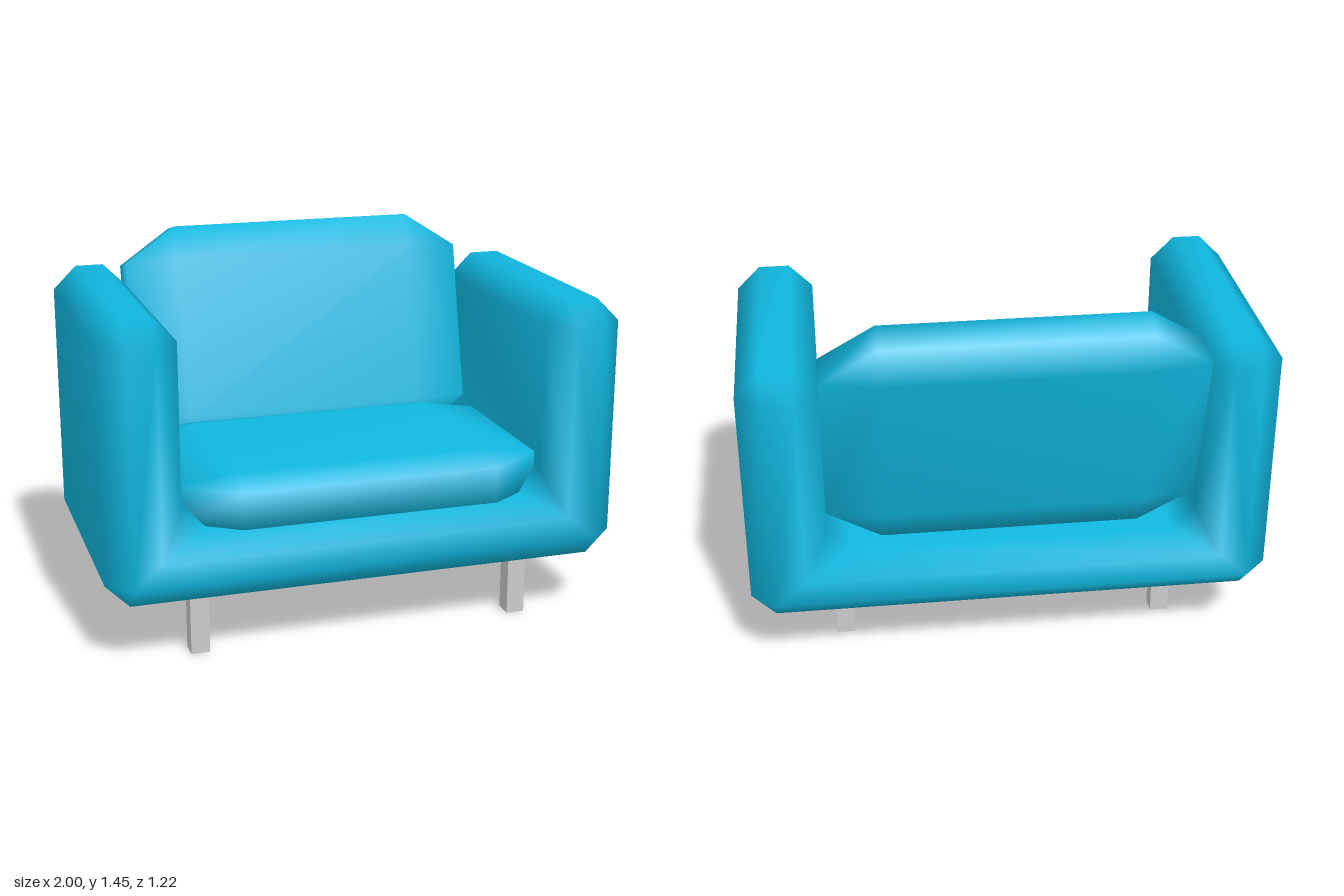
import * as THREE from 'three';

// Softly shaded block: a counter-clockwise right-angled outline in xy, thickened
// along z, with every edge cut by a bevel of size (bx, by, bz).
function bevelledBlock(outline, zBack, zFront, bx, by, bz) {
  const n = outline.length;
  const cap = [];
  const rim = [];
  outline.forEach(([x, y], i) => {
    const [px, py] = outline[(i + n - 1) % n];
    const [qx, qy] = outline[(i + 1) % n];
    const ax = Math.sign(x - px), ay = Math.sign(y - py);
    const cx = Math.sign(qx - x), cy = Math.sign(qy - y);
    cap.push([x - (ay + cy) * bx, y + (ax + cx) * by]);
    rim.push([x - ax * bx, y - ay * by], [x + cx * bx, y + cy * by]);
  });

  const positions = [];
  const addRing = (ring, z) => {
    const start = positions.length / 3;
    ring.forEach(([x, y]) => positions.push(x, y, z));
    return start;
  };
  const capBack = addRing(cap, zBack);
  const rimBack = addRing(rim, zBack + bz);
  const rimFront = addRing(rim, zFront - bz);
  const capFront = addRing(cap, zFront);

  const index = [];
  for (let j = 0; j < 2 * n; j++) {
    const k = (j + 1) % (2 * n);
    const cj = j >> 1, ck = k >> 1;
    // straight wall
    index.push(rimBack + j, rimBack + k, rimFront + k, rimBack + j, rimFront + k, rimFront + j);
    // front and back bevels, triangles at the corners and quads along the edges
    index.push(rimFront + j, rimFront + k, capFront + ck);
    index.push(rimBack + k, rimBack + j, capBack + ck);
    if (cj !== ck) {
      index.push(rimFront + j, capFront + ck, capFront + cj);
      index.push(rimBack + j, capBack + cj, capBack + ck);
    }
  }
  // flat ends
  const points = cap.map(([x, y]) => new THREE.Vector2(x, y));
  for (const [a, b, c] of THREE.ShapeUtils.triangulateShape(points, [])) {
    index.push(capFront + a, capFront + b, capFront + c);
    index.push(capBack + a, capBack + c, capBack + b);
  }

  const geometry = new THREE.BufferGeometry();
  geometry.setAttribute('position', new THREE.Float32BufferAttribute(positions, 3));
  geometry.setIndex(index);
  geometry.computeVertexNormals();
  return geometry;
}

export function createModel() {
  const group = new THREE.Group();
  const fabric = new THREE.MeshStandardMaterial({ color: 0x10b8e0 });
  const grey = new THREE.MeshStandardMaterial({ color: 0xcccccc });

  const add = (name, geometry, material, x = 0, y = 0, z = 0) => {
    const mesh = new THREE.Mesh(geometry, material);
    mesh.name = name;
    mesh.position.set(x, y, z);
    group.add(mesh);
    return mesh;
  };

  // U-shaped base with both arms, the left arm slightly lower
  const frame = [
    [-1, 0.25], [1, 0.25], [1, 1.275], [0.7, 1.275],
    [0.7, 0.525], [-0.71, 0.525], [-0.71, 1.32], [-1, 1.32],
  ];
  add('frame', bevelledBlock(frame, -0.545, 0.61, 0.09, 0.09, 0.09), fabric);

  // One cushion shape, laid flat as the seat and leaned back as the backrest
  const w = 0.705, h = 0.46, t = 0.105;
  const cushion = bevelledBlock([[-w, -h], [w, -h], [w, h], [-w, h]], -t, t, 0.21, 0.14, 0.035);
  add('seatCushion', cushion, fabric, -0.004, 0.6, 0.14).rotation.x = -Math.PI / 2;
  add('backCushion', cushion, fabric, -0.004, 0.991, -0.428).rotation.x = -0.245;

  // Four square legs
  const leg = new THREE.BoxGeometry(0.072, 0.27, 0.072);
  for (const [side, x] of [['Left', 0.645], ['Right', -0.638]]) {
    add('front' + side + 'Leg', leg, grey, x, 0.135, 0.42);
    add('back' + side + 'Leg', leg, grey, x, 0.135, -0.225);
  }

  return group;
}
